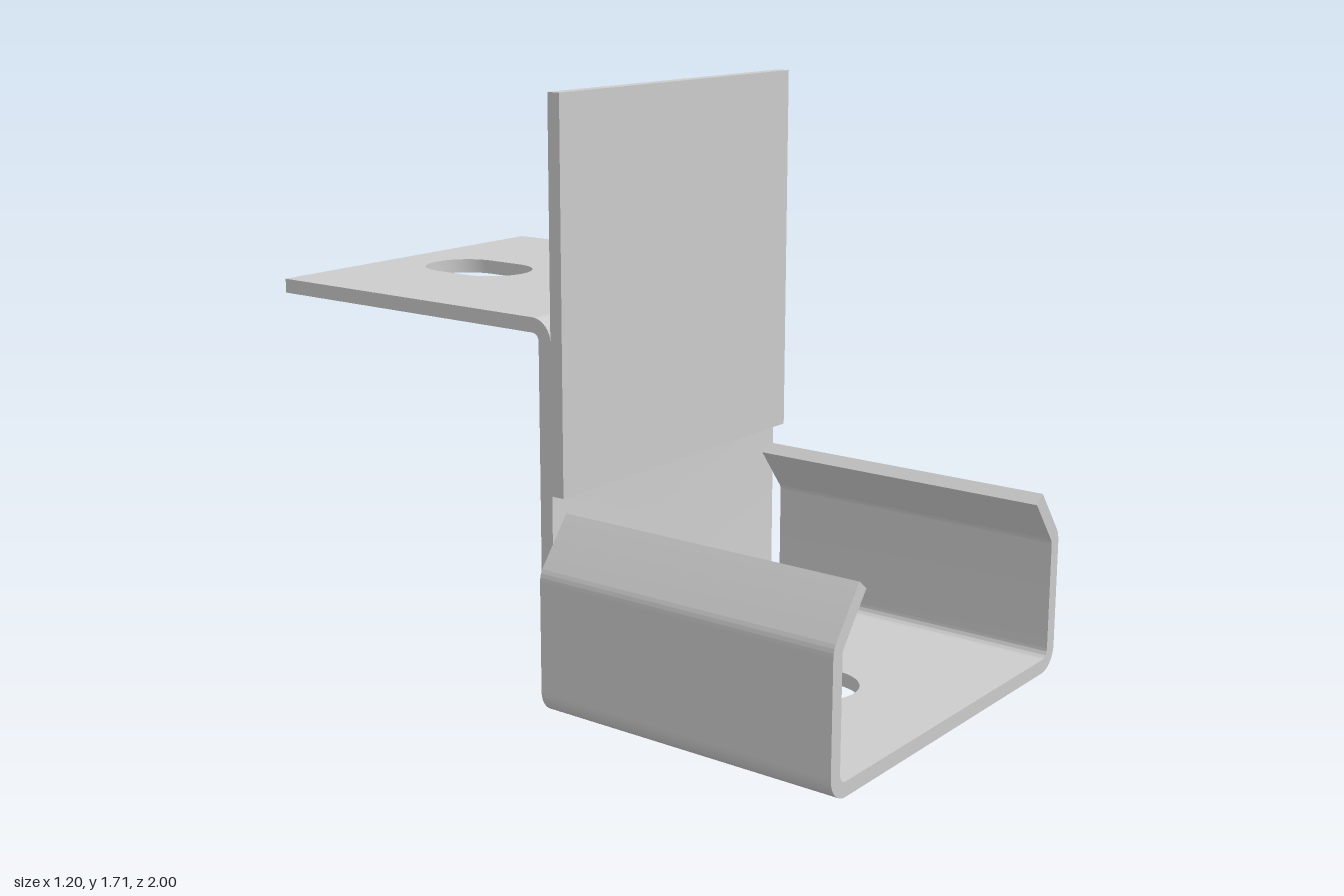
import * as THREE from 'three';
import { toCreasedNormals } from 'three/addons/utils/BufferGeometryUtils.js';

const T = 0.042;      // sheet thickness
const HALF = 0.53;    // half width of the flat strip
const material = new THREE.MeshStandardMaterial({ color: 0xcccccc });

const extrude = (shape, depth) =>
  new THREE.ExtrudeGeometry(shape, { depth, bevelEnabled: false, curveSegments: 12 });

function part(name, geometry) {
  const mesh = new THREE.Mesh(toCreasedNormals(geometry, 0.6), material);
  mesh.name = name;
  return mesh;
}

// Horizontal plate from z0 to z1 with a rounded slot running along z
function slottedPlate(name, y, z0, z1, slot0, slot1) {
  const shape = new THREE.Shape();
  shape.moveTo(-HALF, -z1).lineTo(HALF, -z1).lineTo(HALF, -z0).lineTo(-HALF, -z0).closePath();
  const r = 0.12, cx = -0.03;
  const hole = new THREE.Path();
  hole.absarc(cx, -slot0 - r, r, 0, Math.PI, false);
  hole.absarc(cx, -slot1 + r, r, Math.PI, Math.PI * 2, false);
  hole.closePath();
  shape.holes.push(hole);
  return part(name, extrude(shape, T).rotateX(-Math.PI / 2).translate(0, y, 0));
}

// Side wall section: floor bend, upright, then a lip leaning inward
function sideWallGeometry(length) {
  const R = 0.07, r = R - T, lean = 0.66, lip = 0.16, top = 0.385;
  const c = Math.cos(lean), s = Math.sin(lean);
  const tip = (rad) => [HALF + rad * c - lip * s, top + rad * s + lip * c];
  const shape = new THREE.Shape();
  shape.moveTo(HALF, 0);
  shape.absarc(HALF, R, R, -Math.PI / 2, 0, false);
  shape.absarc(HALF, top, R, 0, lean, false);
  shape.lineTo(...tip(R));
  shape.lineTo(...tip(r));
  shape.absarc(HALF, top, r, lean, 0, true);
  shape.absarc(HALF, R, r, 0, -Math.PI / 2, true);
  shape.closePath();
  return extrude(shape, length);
}

// Back wall section (z, y): bends forward into the floor and backward into the flange
function backWallGeometry() {
  const R = 0.064, r = R - T, up = 1.1 - R, zUp = T - R;
  const shape = new THREE.Shape();
  shape.moveTo(R, 0);
  shape.lineTo(R, T);
  shape.absarc(R, R, r, -Math.PI / 2, -Math.PI, true);
  shape.absarc(zUp, up, R, 0, Math.PI / 2, false);
  shape.absarc(zUp, up, r, Math.PI / 2, 0, true);
  shape.absarc(R, R, R, Math.PI, Math.PI * 1.5, false);
  shape.closePath();
  return extrude(shape, HALF * 2).rotateY(-Math.PI / 2).translate(HALF, 0, 0);
}

export function createModel() {
  const group = new THREE.Group();
  group.name = 'mountingBracket';

  group.add(slottedPlate('floor', 0, 0.064, 1, 0.23, 0.705));
  group.add(slottedPlate('rearFlange', 1.1 - T, -1, T - 0.064, -0.86, -0.5));
  group.add(part('backWall', backWallGeometry()));

  // Side walls, the second turned half round
  const z0 = 0.055, length = 1 - z0;
  const left = part('leftSideWall', sideWallGeometry(length));
  left.position.z = z0;
  const right = part('rightSideWall', sideWallGeometry(length));
  right.rotation.y = Math.PI;
  right.position.z = 1;
  group.add(left, right);

  // Upright plate fixed to the front of the back wall
  const plate = part('frontPlate', new THREE.BoxGeometry(HALF * 2, 1.095, 0.04));
  plate.position.set(0, 0.61 + 1.095 / 2, T + 0.02);
  group.add(plate);

  return group;
}
